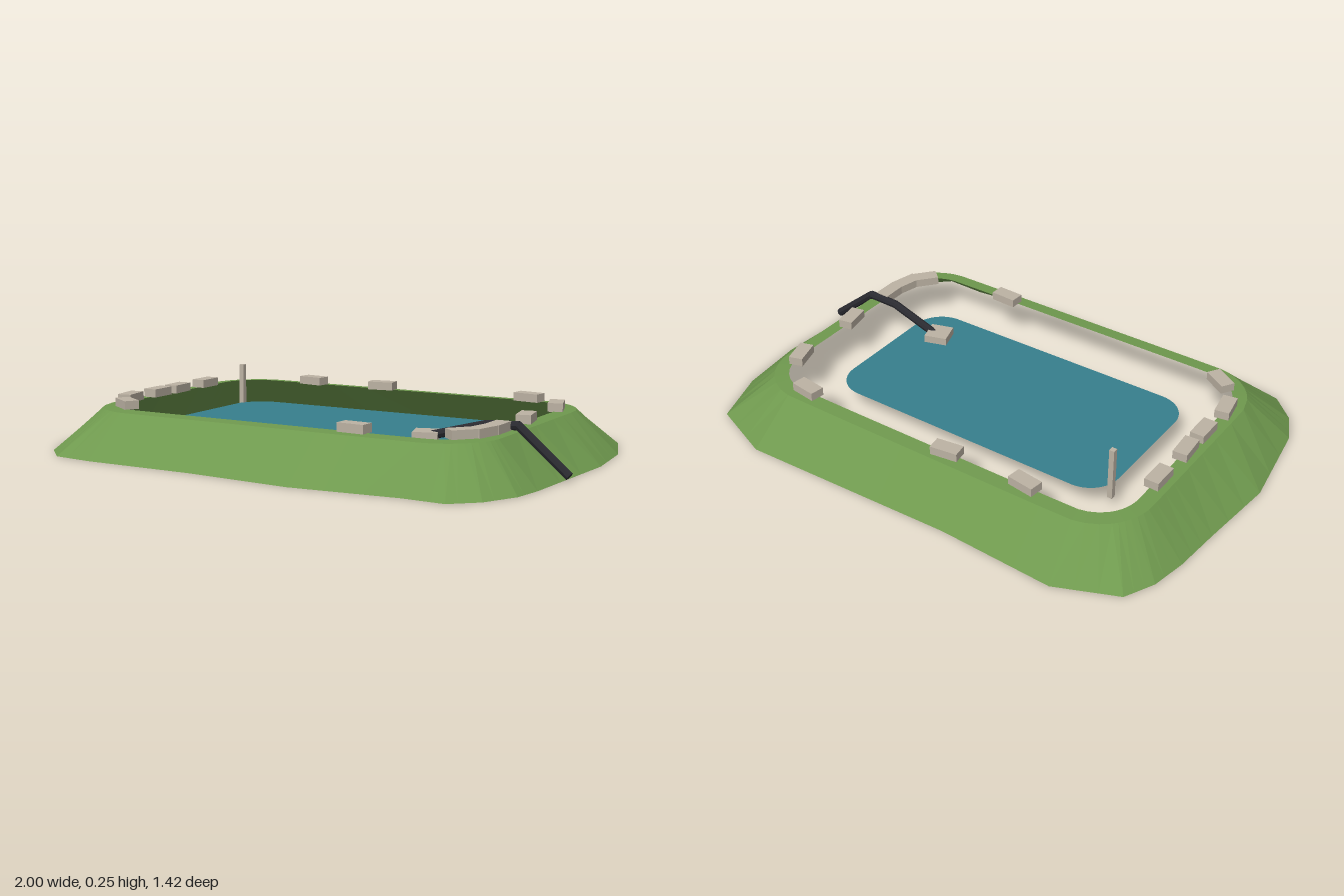
import * as THREE from 'three';

const mat = (name, color, side = THREE.FrontSide) => {
  const m = new THREE.MeshStandardMaterial({ color, side, flatShading: true });
  m.name = name;
  return m;
};

export function createModel() {
  const group = new THREE.Group();
  group.name = 'pond';
  const grass = mat('grass', 0x6f994e, THREE.DoubleSide);
  const water = mat('water', 0x377f8d, THREE.DoubleSide);
  const stone = mat('stone', 0xbcb2a3);
  const rubber = mat('rubber', 0x2a2a30);

  const add = (name, geometry, material, x = 0, y = 0, z = 0) => {
    const mesh = new THREE.Mesh(geometry, material);
    mesh.name = name;
    mesh.position.set(x, y, z);
    group.add(mesh);
    return mesh;
  };

  // Irregular foot of the bank, as x, z pairs
  const foot = [
    [-0.65, -0.715], [-0.2, -0.695], [0.64, -0.72], [0.885, -0.62], [0.96, -0.4],
    [0.985, -0.145], [0.95, 0.35], [0.93, 0.465], [0.865, 0.59], [0.775, 0.67],
    [0.62, 0.665], [0.22, 0.705], [-0.2, 0.68], [-0.635, 0.685], [-0.795, 0.67],
    [-0.89, 0.58], [-0.945, 0.465], [-1, 0.11], [-0.97, -0.19], [-0.955, -0.375],
    [-0.93, -0.51], [-0.875, -0.62],
  ];
  const SUB = 3;
  const outline = [];
  foot.forEach(([x, z], i) => {
    const [nx, nz] = foot[(i + 1) % foot.length];
    for (let k = 0; k < SUB; k++) outline.push([x + (nx - x) * k / SUB, z + (nz - z) * k / SUB]);
  });

  // Rounded rectangle ring below each foot point: nearest core point plus a radius
  const rounded = (radius) => outline.map(([x, z]) => {
    const cx = THREE.MathUtils.clamp(x, -0.595, 0.59);
    const cz = THREE.MathUtils.clamp(z, -0.335, 0.305);
    const d = Math.hypot(x - cx, z - cz);
    return [cx + (x - cx) / d * radius, cz + (z - cz) / d * radius];
  });

  // Band joining two rings
  const band = (a, ya, b, yb) => {
    const n = a.length, pos = [], index = [];
    a.forEach(([x, z]) => pos.push(x, ya, z));
    b.forEach(([x, z]) => pos.push(x, yb, z));
    for (let i = 0; i < n; i++) {
      const j = (i + 1) % n;
      index.push(i, n + i, j, j, n + i, n + j);
    }
    const g = new THREE.BufferGeometry();
    g.setAttribute('position', new THREE.Float32BufferAttribute(pos, 3));
    g.setIndex(index);
    g.computeVertexNormals();
    return g;
  };
  const crest = rounded(0.215);
  // Orient the triangles so that the fronts face up and outward
  const flip = (g) => {
    const ix = g.index.array;
    for (let i = 0; i < ix.length; i += 3) [ix[i + 1], ix[i + 2]] = [ix[i + 2], ix[i + 1]];
    g.computeVertexNormals();
    return g;
  };
  add('bankSlope', flip(band(outline, 0, crest, 0.154)), grass);
  add('bankRim', flip(band(crest, 0.154, rounded(0.16), 0.158)), grass);

  // Water sheet with rounded corners
  const hx = 0.598, hz = 0.32, r = 0.12;
  const shape = new THREE.Shape();
  shape.absarc(hx - r, hz - r, r, 0, Math.PI / 2);
  shape.absarc(r - hx, hz - r, r, Math.PI / 2, Math.PI);
  shape.absarc(r - hx, r - hz, r, Math.PI, Math.PI * 1.5);
  shape.absarc(hx - r, r - hz, r, Math.PI * 1.5, Math.PI * 2);
  add('waterSurface', new THREE.ShapeGeometry(shape, 6).rotateX(-Math.PI / 2), water, -0.007, 0.095, -0.01);

  // Edging stones: x, z, heading in degrees from x towards z
  const stones = [
    [-0.405, -0.495, 8], [-0.08, -0.5, -8], [0.565, -0.495, 8],
    [0.74, -0.335, 73], [0.75, -0.025, 79], [0.75, 0.22, 90], [0.738, 0.315, 103],
    [0.7, 0.385, 130], [0.335, 0.463, 3], [-0.665, 0.42, 32], [-0.76, 0.28, 80],
    [-0.76, 0.11, 90], [-0.76, -0.02, 86], [-0.76, -0.21, 90],
  ];
  stones.forEach(([x, z, deg]) => {
    const s = add('edgingStone', new THREE.BoxGeometry(0.105, 0.032, 0.055), stone, x, 0.173, z);
    s.rotation.y = -THREE.MathUtils.degToRad(deg);
  });

  // Block at the hose inlet and the marker post
  add('inletBlock', new THREE.BoxGeometry(0.09, 0.03, 0.09), stone, 0.45, 0.112, 0.152).rotation.y = 0.3;
  add('markerPost', new THREE.BoxGeometry(0.02, 0.205, 0.02), stone, -0.605, 0.15, -0.258);

  // Hose over the bank
  const hose = [[0.47, 0.112, 0.15], [0.68, 0.168, 0.165], [0.8, 0.174, 0.162], [0.985, 0.022, 0.17]]
    .map((p) => new THREE.Vector3(...p));
  for (let i = 0; i < hose.length - 1; i++) {
    const dir = hose[i + 1].clone().sub(hose[i]);
    const seg = add('hose', new THREE.CylinderGeometry(0.016, 0.016, dir.length() + 0.008, 8), rubber);
    seg.position.copy(hose[i]).addScaledVector(dir, 0.5);
    seg.quaternion.setFromUnitVectors(new THREE.Vector3(0, 1, 0), dir.normalize());
  }
  return group;
}
